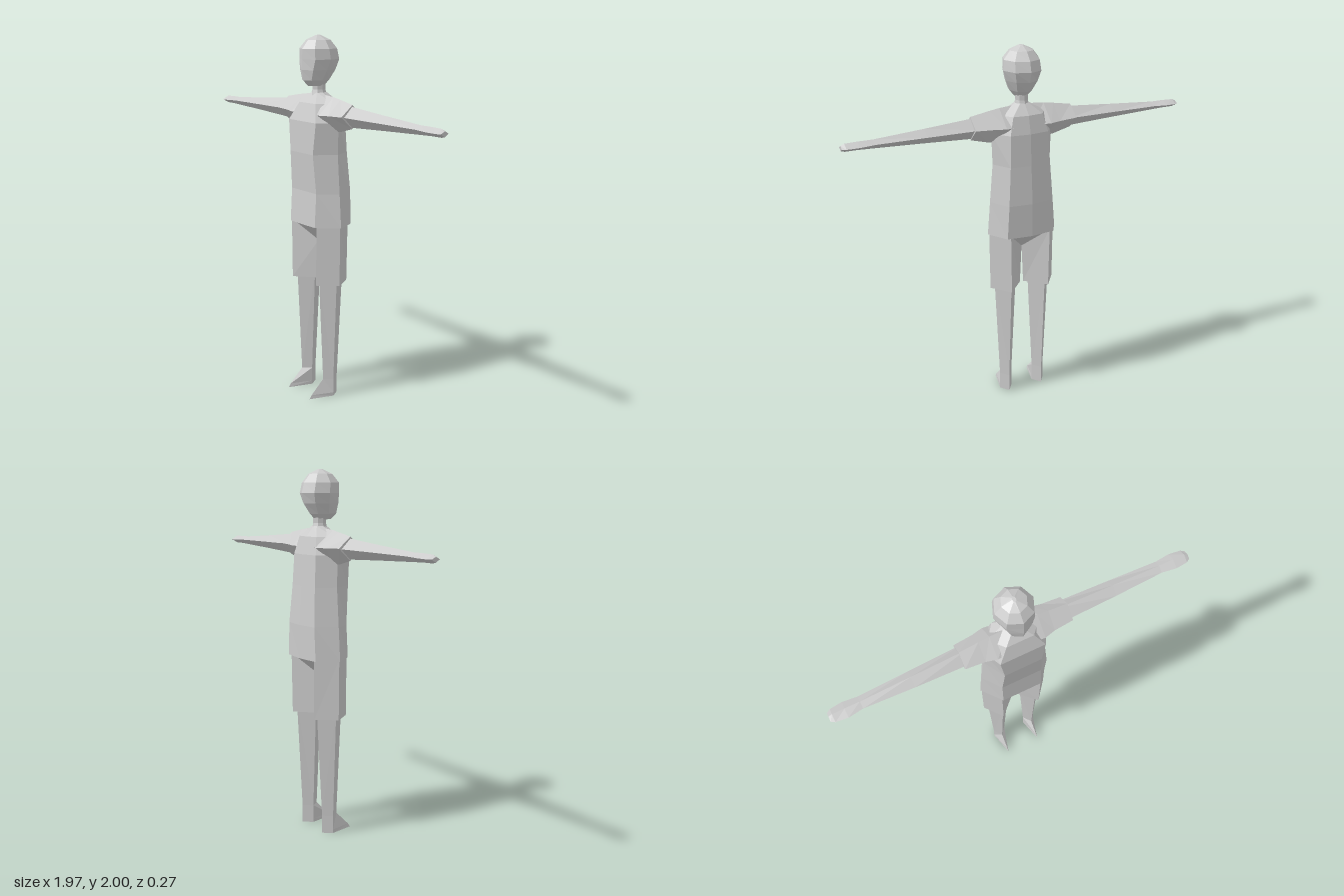
import * as THREE from 'three';

const material = new THREE.MeshStandardMaterial({ color: 0xcccccc, flatShading: true, side: THREE.DoubleSide });

// Skins a list of equal-length point rings, closes both ends and faces it outwards
function loft(name, rings) {
  const tris = [];
  const n = rings[0].length;
  for (let r = 0; r < rings.length - 1; r++) {
    for (let i = 0; i < n; i++) {
      const j = (i + 1) % n;
      const [a, b, c, d] = [rings[r][i], rings[r][j], rings[r + 1][j], rings[r + 1][i]];
      tris.push([a, b, c], [a, c, d]);
    }
  }
  const first = rings[0], last = rings[rings.length - 1];
  const middle = (ring) => [0, 1, 2].map((k) => ring.reduce((s, p) => s + p[k], 0) / n);
  for (let i = 0; i < n; i++) {
    const j = (i + 1) % n;
    tris.push([first[j], first[i], middle(first)], [last[i], last[j], middle(last)]);
  }
  // Signed volume tells whether the winding must be reversed
  let volume = 0;
  for (const [a, b, c] of tris) {
    volume += new THREE.Vector3(...a).dot(new THREE.Vector3(...b).cross(new THREE.Vector3(...c)));
  }
  if (volume < 0) tris.forEach((t) => t.reverse());
  return meshOf(name, tris);
}

function meshOf(name, tris) {
  const geometry = new THREE.BufferGeometry();
  geometry.setAttribute('position', new THREE.Float32BufferAttribute(tris.flat(2), 3));
  geometry.computeVertexNormals();
  const mesh = new THREE.Mesh(geometry, material);
  mesh.name = name;
  return mesh;
}

// Horizontal oval ring with different front and back depths
function oval(y, rx, front, back, sides) {
  const cz = (front + back) / 2, rz = (front - back) / 2;
  return Array.from({ length: sides }, (_, i) => {
    const a = (i / sides) * Math.PI * 2;
    return [Math.cos(a) * rx, y, cz + Math.sin(a) * rz];
  });
}

// Four-cornered leg ring: outer, front, inner, back
const legRing = (s, y, outer, ridge, inner, front, back, innerY = y) =>
  [[s * outer, y, 0], [s * ridge, y, front], [s * inner, innerY, 0], [s * ridge, y, back]];

// Four-cornered arm ring: top, front, bottom, back
const armRing = (s, x, top, mid, bottom, front, back) =>
  [[s * x, top, 0], [s * x, mid, front], [s * x, bottom, 0], [s * x, mid, back]];

export function createModel() {
  const model = new THREE.Group();
  model.name = 'figure';

  // Shirt body: flat chest, side seams at z = 0, slightly ridged back
  const shirt = [
    // y, side, chest half width, front, back half width, back
    [0.985, 0.205, 0.115, 0.11, 0.14, -0.13],
    [1.17, 0.19, 0.115, 0.1, 0.13, -0.132],
    [1.38, 0.172, 0.105, 0.115, 0.115, -0.117],
    [1.55, 0.178, 0.125, 0.11, 0.11, -0.107],
    [1.645, 0.14, 0.075, 0.075, 0.085, -0.085],
    [1.7, 0.035, 0.022, 0.03, 0.025, -0.038],
  ].map(([y, side, fx, front, bx, back]) => [
    [side, y, 0], [fx, y, front], [-fx, y, front], [-side, y, 0],
    [-bx, y, back * 0.88], [0, y, back], [bx, y, back * 0.88],
  ]);
  model.add(loft('shirtBody', shirt));

  for (const [side, s] of [['left', 1], ['right', -1]]) {
    // Sleeve
    model.add(loft(side + 'Sleeve', [
      armRing(s, 0.03, 1.69, 1.59, 1.5, 0.08, -0.08),
      armRing(s, 0.13, 1.682, 1.59, 1.5, 0.093, -0.093),
      armRing(s, 0.19, 1.673, 1.592, 1.503, 0.078, -0.08),
      armRing(s, 0.295, 1.655, 1.595, 1.53, 0.07, -0.07),
    ]));
    // Arm and hand
    model.add(loft(side + 'Arm', [
      armRing(s, 0.25, 1.648, 1.592, 1.535, 0.055, -0.057),
      armRing(s, 0.55, 1.625, 1.59, 1.549, 0.046, -0.046),
      armRing(s, 0.82, 1.606, 1.587, 1.56, 0.033, -0.035),
      armRing(s, 0.9, 1.606, 1.585, 1.563, 0.044, -0.044),
      armRing(s, 0.965, 1.604, 1.583, 1.563, 0.037, -0.037),
      armRing(s, 0.985, 1.595, 1.583, 1.568, 0.024, -0.024),
    ]));
    // Shorts leg
    model.add(loft(side + 'ShortsLeg', [
      legRing(s, 0.66, 0.193, 0.113, 0.01, 0.1, -0.107),
      legRing(s, 0.995, 0.197, 0.118, 0, 0.1, -0.11, 0.88),
    ]));
    // Bare leg with pointed foot
    model.add(loft(side + 'Leg', [
      legRing(s, 0, 0.14, 0.104, 0.067, 0.138, -0.05),
      legRing(s, 0.02, 0.14, 0.104, 0.067, 0.125, -0.05),
      legRing(s, 0.1, 0.14, 0.104, 0.067, 0.045, -0.05),
      legRing(s, 0.7, 0.168, 0.104, 0.037, 0.074, -0.084),
    ]));
  }

  // Crotch panels joining the two shorts legs
  const crotch = [0, 0.88, 0];
  model.add(meshOf('shortsCrotch', [
    [[-0.118, 0.995, 0.1], crotch, [0.118, 0.995, 0.1]],
    [[0.118, 0.995, -0.11], crotch, [-0.118, 0.995, -0.11]],
  ]));

  // Neck
  model.add(loft('neck', [
    oval(1.68, 0.042, 0.045, -0.045, 8),
    oval(1.715, 0.034, 0.036, -0.036, 8),
    oval(1.77, 0.036, 0.04, -0.038, 8),
  ]));

  // Head, narrowing to the chin
  model.add(loft('head', [
    [1.735, 0.035, 0.07, -0.03],
    [1.765, 0.06, 0.102, -0.06],
    [1.82, 0.086, 0.11, -0.095],
    [1.875, 0.105, 0.108, -0.112],
    [1.93, 0.1, 0.107, -0.098],
    [1.975, 0.065, 0.07, -0.062],
    [2.0, 0.01, 0.02, -0.01],
  ].map(([y, rx, front, back]) => oval(y, rx, front, back, 8))));

  return model;
}
